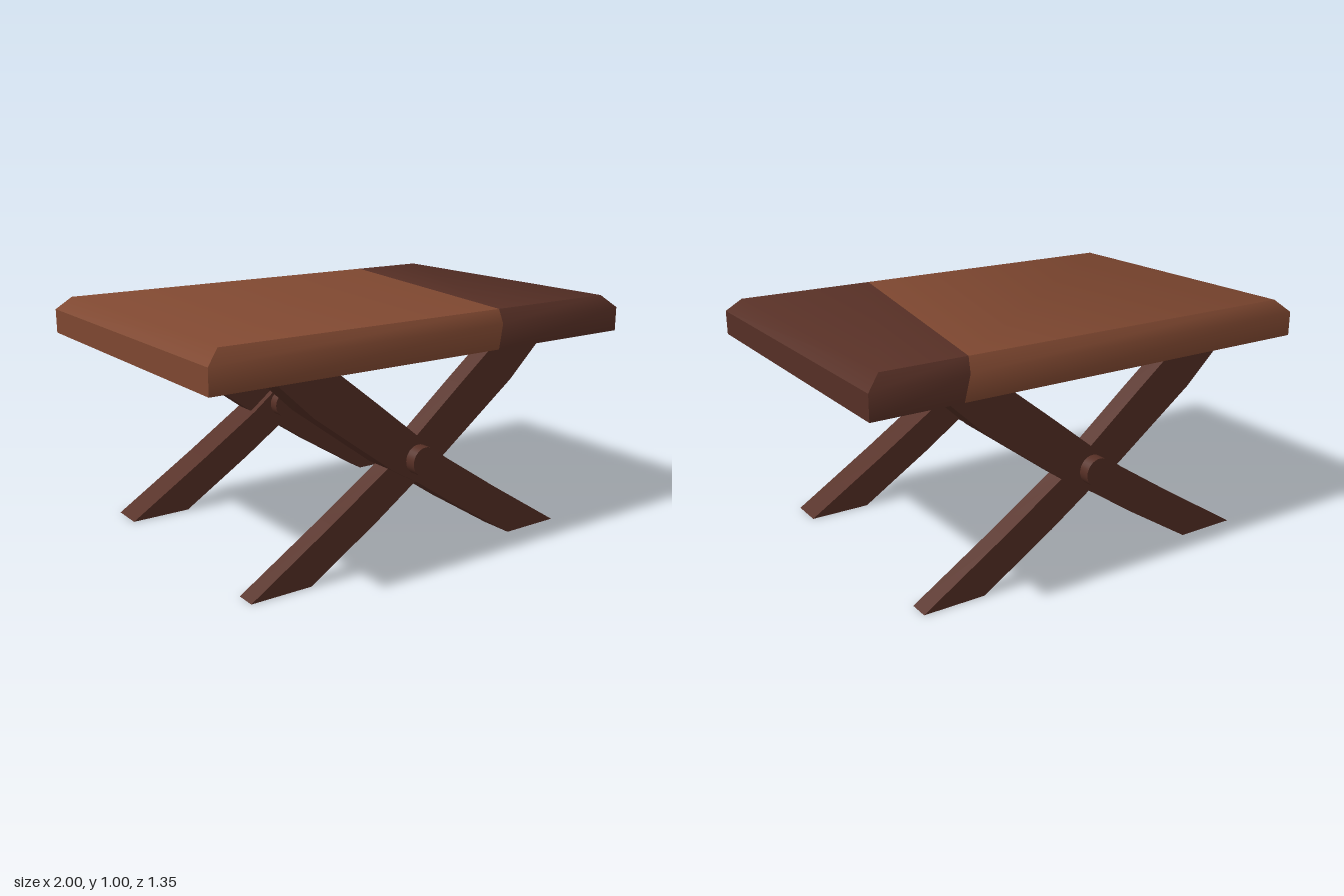
import * as THREE from 'three';
import { toCreasedNormals } from 'three/addons/utils/BufferGeometryUtils.js';

// Convex polygons (counter-clockwise from outside) fanned into one geometry
function polygons(list, crease) {
  const pos = [];
  for (const p of list)
    for (let i = 1; i < p.length - 1; i++) pos.push(...p[0], ...p[i], ...p[i + 1]);
  const g = new THREE.BufferGeometry();
  g.setAttribute('position', new THREE.Float32BufferAttribute(pos, 3));
  return toCreasedNormals(g, crease);
}

// Levels of the bevelled slab: height, half width, half depth, seam x at front and back
const LEVELS = [
  { y: 0.85, x: 1, z: 0.677, front: 0.31, back: 0.63 },
  { y: 0.952, x: 1, z: 0.677, front: 0.327, back: 0.605 },
  { y: 1.005, x: 0.94, z: 0.637, front: 0.34, back: 0.588 },
];

// One side of the slab; side = -1 for the pale part, 1 for the dark part
function slabPart(side) {
  const rings = LEVELS.map((l) => {
    const seamFront = [l.front, l.y, l.z], seamBack = [l.back, l.y, -l.z];
    const endFront = [side * l.x, l.y, l.z], endBack = [side * l.x, l.y, -l.z];
    return side > 0 ? [seamFront, endFront, endBack, seamBack] : [seamBack, endBack, endFront, seamFront];
  });
  const faces = [rings[2]];
  for (let k = 0; k < 2; k++)
    for (let i = 0; i < 3; i++)
      faces.push([rings[k][i], rings[k][i + 1], rings[k + 1][i + 1], rings[k + 1][i]]);
  return polygons(faces, THREE.MathUtils.degToRad(45));
}

// Gently curved leg outline, foot at +x and top at -x
const LEG = [
  [0.505, 0], [0.775, 0], [0.41, 0.23], [0.135, 0.41], [0, 0.515], [-0.23, 0.7], [-0.423, 0.852],
  [-0.693, 0.852], [-0.51, 0.68], [-0.145, 0.41], [0, 0.325], [0.185, 0.2],
];

function legGeometry(dir, depth) {
  const shape = new THREE.Shape(LEG.map(([x, y]) => new THREE.Vector2(x * dir, y)));
  const g = new THREE.ExtrudeGeometry(shape, { depth, bevelEnabled: false });
  g.translate(0, 0, -depth / 2);
  return toCreasedNormals(g, THREE.MathUtils.degToRad(25));
}

export function createModel() {
  const pale = new THREE.MeshStandardMaterial({ color: 0x7e4730 });
  pale.name = 'paleWood';
  const dark = new THREE.MeshStandardMaterial({ color: 0x562f25 });
  dark.name = 'darkWood';

  const model = new THREE.Group();
  model.name = 'crossLegTable';
  const add = (parent, name, geometry, material) => {
    const mesh = new THREE.Mesh(geometry, material);
    mesh.name = name;
    parent.add(mesh);
    return mesh;
  };

  // Two-toned table top with a slanted seam
  const top = new THREE.Group();
  top.name = 'tableTop';
  model.add(top);
  add(top, 'paleTop', slabPart(-1), pale);
  add(top, 'darkTop', slabPart(1), dark);

  // Underside, with a dark corner
  const { y, x, z } = LEVELS[0];
  const a = [0.77, y, -z], b = [x, y, 0.11];
  add(top, 'paleUnderside', polygons([[[-x, y, -z], a, b, [x, y, z], [-x, y, z]]], 0.1), pale);
  add(top, 'darkUndersideCorner', polygons([[a, [x, y, -z], b]], 0.1), dark);

  // Crossed leg pairs, the back one turned half round
  const wide = legGeometry(1, 0.145);
  const narrow = legGeometry(-1, 0.085);
  const pegShape = new THREE.CylinderGeometry(0.06, 0.06, 0.24, 32).rotateX(Math.PI / 2);
  for (const [name, zPos, turn] of [['frontLegs', 0.518, 0], ['backLegs', -0.533, Math.PI]]) {
    const pair = new THREE.Group();
    pair.name = name;
    pair.position.set(-0.014, 0, zPos);
    pair.rotation.y = turn;
    add(pair, 'wideLeg', wide, dark);
    add(pair, 'narrowLeg', narrow, dark);
    add(pair, 'pivotPeg', pegShape, dark).position.set(-0.012, 0.432, 0);
    model.add(pair);
  }
  return model;
}
